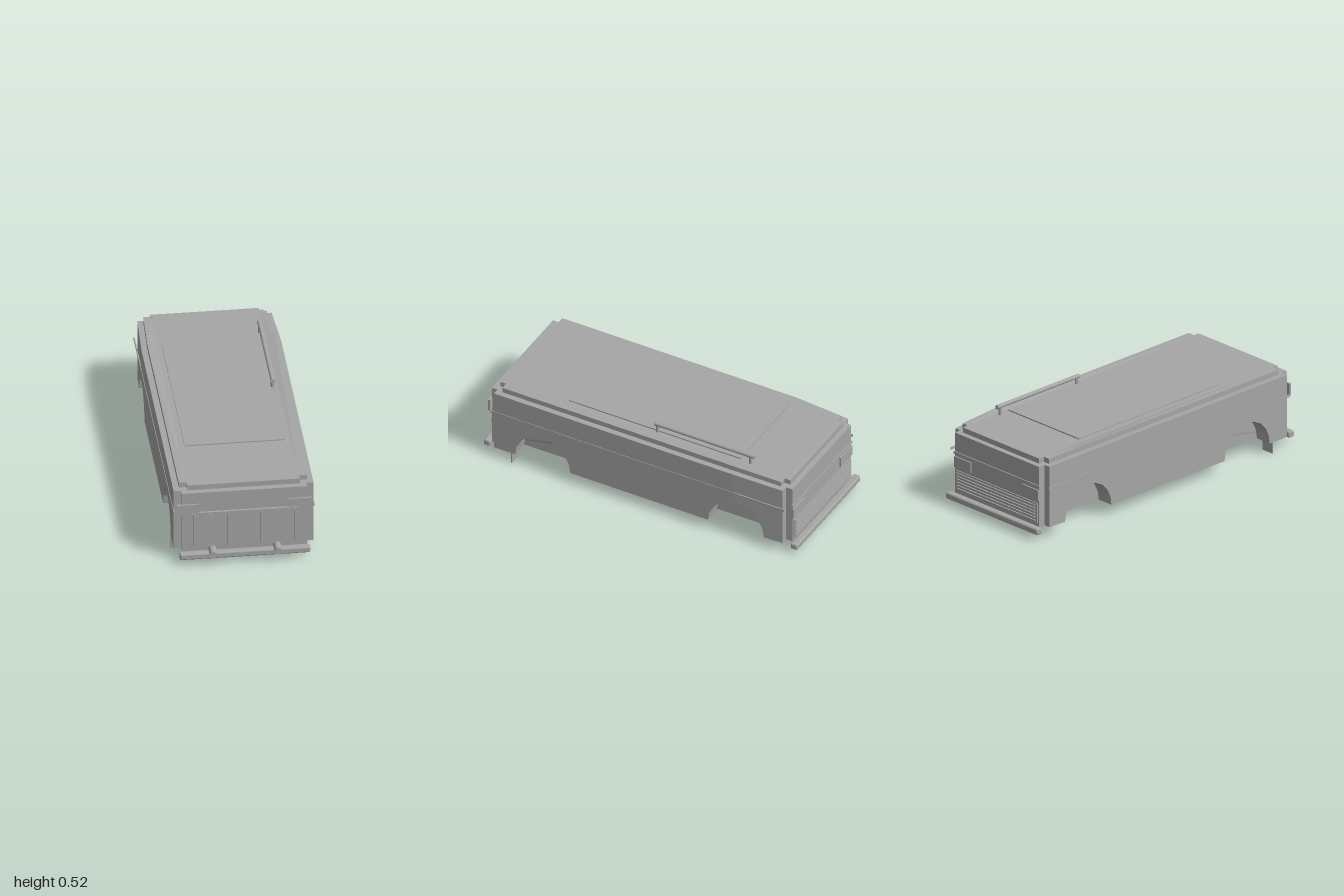
import * as THREE from 'three';
import { RoundedBoxGeometry } from 'three/addons/geometries/RoundedBoxGeometry.js';

const grey = new THREE.MeshStandardMaterial({ color: 0xa6a6a6 });
grey.name = 'body grey';

// Narrows and lowers everything behind z = -0.6
function taper(geo) {
  const p = geo.attributes.position;
  for (let i = 0; i < p.count; i++) {
    const t = Math.max(0, (-0.6 - p.getZ(i)) / 0.35);
    p.setX(i, p.getX(i) * (1 - 0.045 * t));
    if (p.getY(i) > 0.4) p.setY(i, p.getY(i) - 0.012 * t);
  }
  geo.computeVertexNormals();
  return geo;
}

// Side profile between two x positions, with optional wheel arches
function slab(x0, x1, back, front, arches) {
  const s = new THREE.Shape();
  s.moveTo(-front, 0.065);
  if (arches) for (const z of [0.575, -0.63]) {
    for (let i = 0; i <= 10; i++) {
      const a = Math.PI * (1 - i / 10);
      s.lineTo(-z + 0.172 * Math.cos(a), 0.065 + 0.175 * Math.sin(a));
    }
  }
  s.lineTo(-back, 0.065);
  s.lineTo(-back, 0.435);
  s.lineTo(0.6, 0.435);
  s.lineTo(-front, 0.435);
  const g = new THREE.ExtrudeGeometry(s, { depth: x1 - x0, bevelEnabled: false });
  g.rotateY(Math.PI / 2).translate(x0, 0, 0);
  return taper(g);
}

// Roof plate with a square notch at each corner
function roofPlate() {
  const half = [[0.31, 0.88], [0.31, 0.845], [0.352, 0.845], [0.352, -0.6],
    [0.352, -0.89], [0.312, -0.89], [0.312, -0.925]];
  const pts = [...half, ...half.map(([x, z]) => [-x, z]).reverse()];
  const s = new THREE.Shape(pts.map(([x, z]) => new THREE.Vector2(x, -z)));
  const g = new THREE.ExtrudeGeometry(s, { depth: 0.03, bevelEnabled: false });
  g.rotateX(-Math.PI / 2).translate(0, 0.435, 0);
  return taper(g);
}

export function createModel() {
  const model = new THREE.Group();
  model.name = 'vehicleBody';
  const add = (name, geo, parent = model) => {
    const m = new THREE.Mesh(geo, grey);
    m.name = name;
    parent.add(m);
    return m;
  };
  // Box given by its limits on each axis
  const box = (name, x0, x1, y0, y1, z0, z1) =>
    add(name, new THREE.BoxGeometry(x1 - x0, y1 - y0, z1 - z0))
      .position.set((x0 + x1) / 2, (y0 + y1) / 2, (z0 + z1) / 2);
  const rod = (name, r, len, x, y, z, alongZ) => {
    const g = new THREE.CylinderGeometry(r, r, len, 20);
    if (alongZ) g.rotateX(Math.PI / 2);
    add(name, g).position.set(x, y, z);
  };

  // Main body: plain core, arched flanks and notched corners
  add('bodyCore', slab(-0.285, 0.285, -0.955, 0.915, false));
  for (const s of [-1, 1]) {
    const side = s > 0 ? 'left' : 'right';
    const span = (a, b) => (s > 0 ? [a, b] : [-b, -a]);
    add(side + 'InnerFlank', slab(...span(0.285, 0.345), -0.955, 0.915, true));
    add(side + 'OuterFlank', slab(...span(0.345, 0.385), -0.915, 0.88, true));
    box(side + 'SideStrip', ...span(0.382, 0.388), 0.298, 0.312, -0.935, 0.9);
    box(side + 'MudFlap', ...span(0.308, 0.387), 0, 0.069, 0.766, 0.771);
    box(side + 'FrontLamp', ...span(0.243, 0.371), 0.295, 0.366, 0.912, 0.924);
    box(side + 'BackLamp', ...span(0.2, 0.33), 0.222, 0.285, -0.963, -0.95);
    rod(side + 'Pipe', 0.021, 0.12, s * 0.178, 0.081, 0.94, true);
  }

  // Roof and raised hatch
  add('roof', roofPlate());
  box('roofHatch', -0.275, 0.275, 0.462, 0.469, -0.6, 0.47);

  // Roof rail on the left
  rod('roofRail', 0.012, 0.625, 0.275, 0.51, -0.378, true);
  for (const z of [-0.083, -0.665]) rod('railPost', 0.01, 0.05, 0.275, 0.484, z, false);

  // Front panel with upright ribs
  box('frontPanel', -0.305, 0.305, 0.094, 0.314, 0.91, 0.928);
  for (let i = -3; i <= 3; i++) {
    const x = i * 0.092;
    box('frontRib', x - 0.004, x + 0.004, 0.104, 0.304, 0.92, 0.938);
  }

  // Back grille with level slats, and a trim strip above it
  box('backGrille', -0.32, 0.32, 0.088, 0.205, -0.961, -0.95);
  for (let i = 0; i < 6; i++) {
    const y = 0.1 + i * 0.018;
    box('grilleSlat', -0.308, 0.308, y - 0.004, y + 0.004, -0.969, -0.955);
  }
  box('backTrim', -0.335, 0.335, 0.298, 0.312, -0.961, -0.95);

  // Bumpers
  for (const [name, z] of [['frontBumper', 0.94], ['backBumper', -0.979]]) {
    add(name, new RoundedBoxGeometry(0.718, 0.038, 0.042, 3, 0.01)).position.set(0, 0.054, z);
  }
  return model;
}
